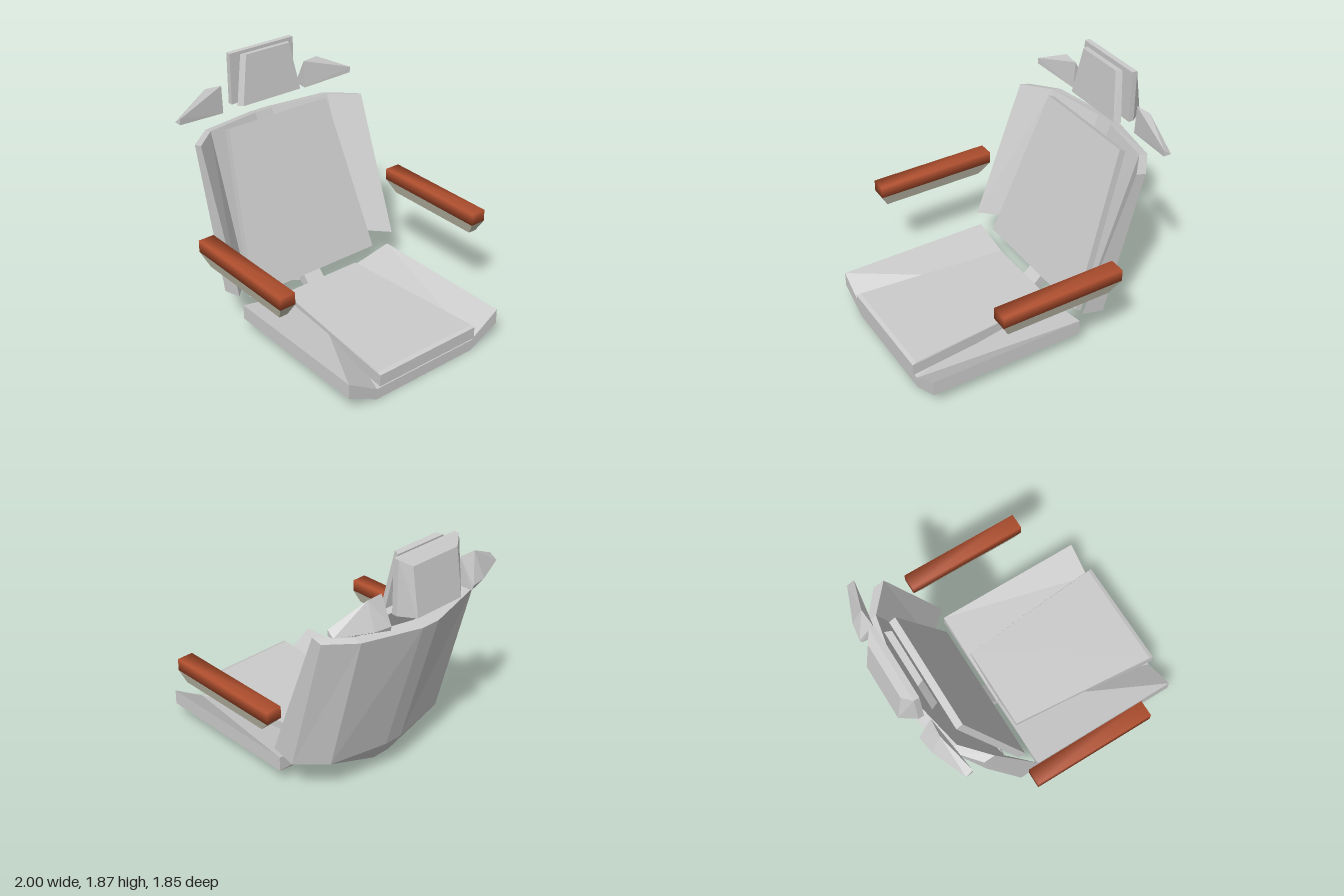
import * as THREE from 'three';
import { mergeVertices } from 'three/addons/utils/BufferGeometryUtils.js';
import { ConvexGeometry } from 'three/addons/geometries/ConvexGeometry.js';

// The seat faces +x and is symmetrical across z.
export function createModel() {
  const model = new THREE.Group();
  const grey = new THREE.MeshStandardMaterial({ color: 0xcccccc, flatShading: true });
  const cream = new THREE.MeshStandardMaterial({ color: 0xc6c4b0, flatShading: true });
  const red = new THREE.MeshStandardMaterial({ color: 0xb04f2e });

  const add = (name, geometry, material = grey) => {
    const mesh = new THREE.Mesh(geometry, material);
    mesh.name = name;
    model.add(mesh);
    return mesh;
  };

  // Faceted solid around [x, y, z] corners
  const hull = (pts) => new ConvexGeometry(pts.map((p) => new THREE.Vector3(...p)));
  const flip = (pts) => pts.map(([x, y, z]) => [x, y, -z]);
  const both = (pts) => [...pts, ...flip(pts)];

  // Closed bent-plate section from the +z halves (centre to rim) of its outer and inner skins
  const section = (outer, inner) => [
    ...flip(outer).reverse(), ...outer,
    ...[...inner].reverse(), ...flip(inner),
  ];

  // Flat-shaded skin between two sections, capped at both ends
  const loft = (a, b) => {
    const pos = [];
    const quad = (p, q, r, s) => pos.push(...p, ...q, ...r, ...p, ...r, ...s);
    const n = a.length;
    for (let i = 0; i < n; i++) {
      const j = (i + 1) % n;
      quad(a[i], a[j], b[j], b[i]);
    }
    for (let i = 0; i < n / 2 - 1; i++) {
      quad(b[i], b[i + 1], b[n - 2 - i], b[n - 1 - i]);
      quad(a[n - 1 - i], a[n - 2 - i], a[i + 1], a[i]);
    }
    const g = new THREE.BufferGeometry();
    g.setAttribute('position', new THREE.Float32BufferAttribute(pos, 3));
    g.computeVertexNormals();
    return g;
  };

  // Seat pan: wide trough at the front, narrowing to the connector at the rear
  add('seatPan', loft(
    section([[0.975, 0.005, 0.44], [0.975, 0.13, 0.685]], [[0.975, 0.09, 0.44], [0.975, 0.245, 0.685]]),
    section([[-0.15, 0.02, 0.075], [-0.21, 0.13, 0.685]], [[-0.2, 0.13, 0.075], [-0.21, 0.245, 0.685]]),
  ));
  add('seatCushion', hull(both([
    [1, 0.125, 0.437], [1, 0.215, 0.437], [0.97, 0.225, 0.43],
    [-0.18, 0.22, 0.335], [-0.18, 0.13, 0.335],
  ])));

  // Link between the seat pan and the backrest
  add('seatConnector', hull(both([
    [-0.37, 0.3, 0.075], [-0.34, 0.15, 0.075], [-0.15, 0.02, 0.075], [-0.2, 0.13, 0.075],
  ])));

  // Backrest shell with swept wings
  add('backShell', loft(
    section(
      [[-0.64, 0.28, 0.075], [-0.56, 0.295, 0.53], [-0.38, 0.295, 0.722]],
      [[-0.5, 0.33, 0.075], [-0.4, 0.34, 0.53], [-0.2, 0.34, 0.722]],
    ),
    section(
      [[-0.935, 1.335, 0.075], [-0.83, 1.36, 0.53], [-0.67, 1.36, 0.722]],
      [[-0.85, 1.36, 0.075], [-0.76, 1.375, 0.53], [-0.59, 1.38, 0.722]],
    ),
  ));
  add('backLowerLip', hull(both([
    [-0.56, 0.295, 0.53], [-0.4, 0.3, 0.53], [-0.64, 0.28, 0.075],
    [-0.525, 0.105, 0.075], [-0.34, 0.15, 0.075],
  ])));
  add('backPad', hull(both([
    [-0.66, 1.4, 0.44], [-0.71, 1.375, 0.44], [-0.25, 0.25, 0.57], [-0.3, 0.22, 0.57],
  ])));

  // Headrest: slab with a tapered rear, and a separate front pad
  add('headrestBack', hull(both([
    [-1, 1.48, 0.205], [-0.945, 1.82, 0.205], [-0.89, 1.48, 0.28],
    [-0.89, 1.87, 0.28], [-0.85, 1.48, 0.28], [-0.85, 1.87, 0.28],
  ])));
  add('headrestPad', hull(both([
    [-0.82, 1.86, 0.21], [-0.775, 1.865, 0.19], [-0.785, 1.49, 0.275], [-0.735, 1.5, 0.255],
  ])));

  const wing = [
    [-0.95, 1.475, 0.39], [-0.94, 1.44, 0.385], [-0.83, 1.445, 0.37], [-0.84, 1.655, 0.37],
    [-0.85, 1.66, 0.5], [-0.93, 1.475, 0.52], [-0.775, 1.53, 0.765], [-0.775, 1.485, 0.765],
    [-0.83, 1.49, 0.772],
  ];
  const padBox = new THREE.BoxGeometry(0.94, 0.09, 0.122);
  padBox.deleteAttribute('normal');
  padBox.deleteAttribute('uv');
  const softPad = mergeVertices(padBox);
  softPad.computeVertexNormals();

  // Paired head wings and armrests
  for (const [side, s] of [['left', 1], ['right', -1]]) {
    add(side + 'HeadWing', hull(s > 0 ? wing : flip(wing)));
    add(side + 'ArmrestPad', softPad, red).position.set(0.1, 0.755, s * 0.863);
    const support = [];
    for (const w of [-1, 1]) {
      support.push([-0.37, 0.71, s * 0.863 + w * 0.061], [0.57, 0.71, s * 0.863 + w * 0.061]);
      support.push([-0.28, 0.62, s * 0.863 + w * 0.032], [0.52, 0.62, s * 0.863 + w * 0.032]);
    }
    add(side + 'ArmrestSupport', hull(support), cream);
  }
  return model;
}
